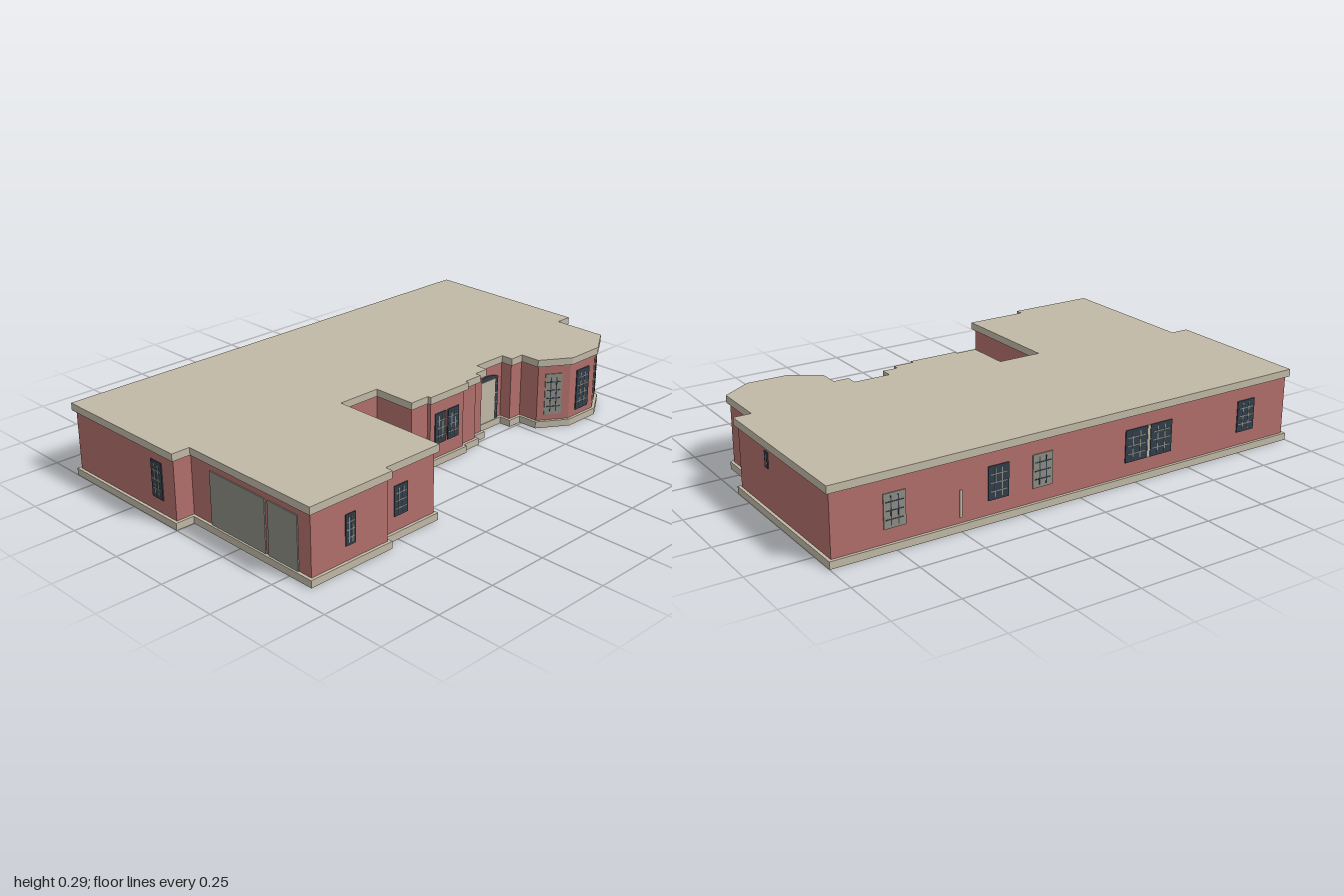
import * as THREE from 'three';

const mat = (name, color) => Object.assign(new THREE.MeshStandardMaterial({ color }), { name });

export function createModel() {
  const stone = mat('stone', 0xc0b8a6);
  const brick = mat('brick', 0xb06e6a);
  const navy = mat('navy', 0x323e4b);
  const grey = mat('grey', 0x8c8c83);
  const root = new THREE.Group();
  root.name = 'house';

  // Floor plan as [x, z]
  const plan = [
    [-1, -0.607], [1, -0.607], [1, 0.1], [0.93, 0.1], [0.93, 0.322], [0.81, 0.4], [0.65, 0.4],
    [0.53, 0.322], [0.53, 0.24], [0.468, 0.24], [0.468, 0.19], [0.318, 0.19], [0.318, 0.24],
    [0.255, 0.24], [0.255, 0.265], [0.17, 0.265], [0.17, 0.28], [-0.035, 0.28], [-0.035, 0.265],
    [-0.12, 0.265], [-0.12, 0.084], [-0.303, 0.084], [-0.303, 0.575], [-0.56, 0.575],
    [-0.56, 0.607], [-0.925, 0.607], [-0.925, -0.002], [-1, -0.002],
  ];
  const inset = 0.012;

  // Moves every edge of the plan inwards by d
  function shrink(points, d) {
    const n = points.length;
    const normal = (a, b) => new THREE.Vector2(a[1] - b[1], b[0] - a[0]).normalize();
    return points.map((p, i) => {
      const n1 = normal(points[(i + n - 1) % n], p);
      const n2 = normal(p, points[(i + 1) % n]);
      const k = d / (1 + n1.dot(n2));
      return [p[0] + (n1.x + n2.x) * k, p[1] + (n1.y + n2.y) * k];
    });
  }

  function storey(name, points, y0, y1, material) {
    const shape = new THREE.Shape(points.map(([x, z]) => new THREE.Vector2(x, -z)));
    const geo = new THREE.ExtrudeGeometry(shape, { depth: y1 - y0, bevelEnabled: false });
    geo.rotateX(-Math.PI / 2).translate(0, y0, 0);
    const mesh = new THREE.Mesh(geo, material);
    mesh.name = name;
    root.add(mesh);
  }
  storey('baseSlab', plan, 0, 0.028, stone);
  storey('walls', shrink(plan, inset), 0.028, 0.263, brick);
  storey('roofSlab', plan, 0.263, 0.292, stone);

  function box(parent, name, w, h, d, x, y, z, material) {
    const mesh = new THREE.Mesh(new THREE.BoxGeometry(w, h, d), material);
    mesh.name = name;
    mesh.position.set(x, y, z);
    parent.add(mesh);
  }

  // Window: thin plate with glazing bars, facing +z before it is turned
  function addWindow(name, x, z, turn, w, y0, y1, plate = navy, bars = grey, cols = 3, rows = 4) {
    const g = new THREE.Group();
    g.name = name;
    g.position.set(x, (y0 + y1) / 2, z);
    g.rotation.y = turn;
    const h = y1 - y0;
    box(g, 'pane', w, h, 0.008, 0, 0, 0, plate);
    const t = 0.004;
    for (let i = 1; i < cols; i++) {
      box(g, 'uprightBar', t, h * 0.84, 0.004, w * (i / cols - 0.5), 0, 0.003, bars);
    }
    for (let j = 1; j < rows; j++) {
      box(g, 'crossBar', w * 0.8, t, 0.004, 0, h * (j / rows - 0.5), 0.003, bars);
    }
    root.add(g);
  }

  // Front windows: [x, wall edge z, width, bottom, top]
  [
    [-0.742, 0.607, 0.044, 0.085, 0.2],
    [-0.478, 0.575, 0.064, 0.085, 0.2],
    [-0.212, 0.084, 0.066, 0.085, 0.21],
    [0.031, 0.28, 0.06, 0.085, 0.21],
    [0.1, 0.28, 0.06, 0.085, 0.21],
  ].forEach(([x, z, w, a, b]) => addWindow('frontWindow', x, z - inset, 0, w, a, b));

  // Bay windows
  addWindow('bayFrontWindow', 0.732, 0.4 - inset, 0, 0.078, 0.052, 0.222, navy, grey, 3, 5);
  const facet = Math.atan2(0.078, 0.12);
  for (const s of [-1, 1]) {
    const x = 0.73 + s * (0.14 - inset * Math.sin(facet));
    const z = 0.361 - inset * Math.cos(facet);
    addWindow('baySideWindow', x, z, s * facet, 0.07, 0.052, 0.226, grey, navy, 3, 5);
  }

  // Back windows: [x, width, pane colour, bar colour]
  [
    [0.752, 0.084, grey, navy], [0.345, 0.084, navy, grey], [0.161, 0.084, grey, navy],
    [-0.255, 0.1, navy, grey], [-0.37, 0.1, navy, grey], [-0.788, 0.084, navy, grey],
  ].forEach(([x, w, p, b]) => addWindow('backWindow', x, -0.607 + inset, Math.PI, w, 0.082, 0.208, p, b));
  box(root, 'backDivider', 0.012, 0.126, 0.008, -0.312, 0.145, -0.607 + inset, stone);
  box(root, 'backVent', 0.01, 0.1, 0.008, 0.497, 0.1, -0.607 + inset, stone);

  // Side windows
  addWindow('rightWindow', 1 - inset, -0.142, Math.PI / 2, 0.024, 0.185, 0.245, navy, grey, 2, 3);
  addWindow('leftWindow', -1 + inset, -0.112, -Math.PI / 2, 0.06, 0.082, 0.225);

  // Garage doors on the left wall
  for (const [z0, z1] of [[0.09, 0.375], [0.39, 0.535]]) {
    box(root, 'garageDoor', 0.009, 0.205, z1 - z0, -0.925 + inset, 0.1305, (z0 + z1) / 2, grey);
  }

  // Entrance: arched frame with the door leaf and its panels
  const arch = new THREE.Shape();
  arch.moveTo(0.33, 0.028);
  arch.lineTo(0.456, 0.028);
  arch.lineTo(0.456, 0.208);
  arch.quadraticCurveTo(0.393, 0.236, 0.33, 0.208);
  const frame = new THREE.Mesh(
    new THREE.ExtrudeGeometry(arch, { depth: 0.005, bevelEnabled: false, curveSegments: 10 }), navy);
  frame.name = 'doorFrame';
  frame.position.z = 0.19 - inset;
  root.add(frame);
  box(root, 'frontDoor', 0.092, 0.176, 0.006, 0.391, 0.116, 0.184, stone);
  for (const y of [0.06, 0.1, 0.14, 0.18]) {
    for (const x of [0.338, 0.446]) box(root, 'sidelightBar', 0.01, 0.005, 0.004, x, y, 0.183, grey);
  }
  return root;
}
